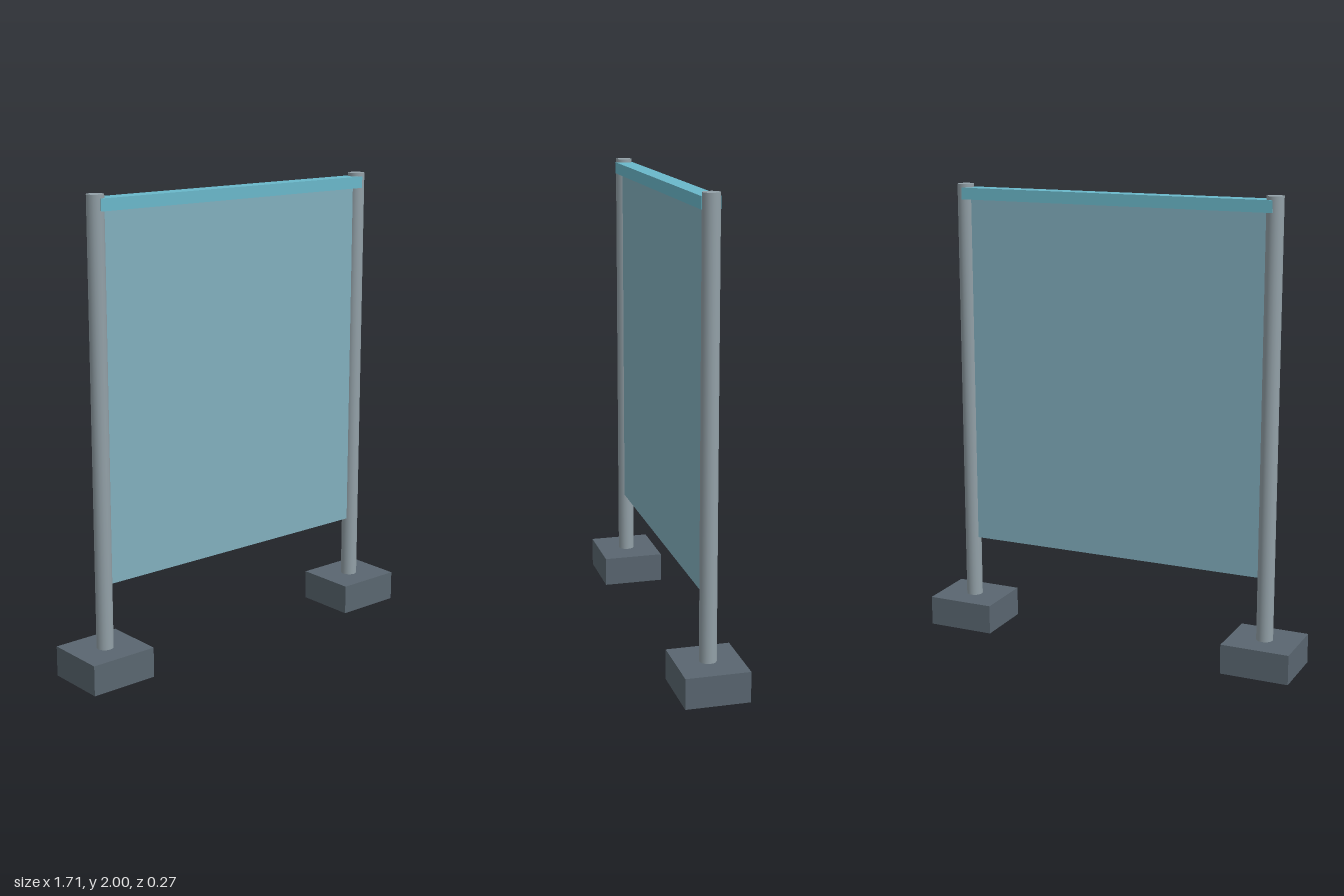
import * as THREE from 'three';

const colour = (name, hex) => {
  const m = new THREE.MeshStandardMaterial({ color: hex });
  m.name = name;
  return m;
};

export function createModel() {
  const steel = colour('steel grey', 0x93a1a8);
  const slate = colour('slate grey', 0x5a6670);
  const pane = colour('pale blue pane', 0x82afbe);
  const cyan = colour('cyan trim', 0x6ab8ca);

  const group = new THREE.Group();
  group.name = 'screenPanel';

  const add = (name, geometry, material, x, y) => {
    const mesh = new THREE.Mesh(geometry, material);
    mesh.name = name;
    mesh.position.set(x, y, 0);
    group.add(mesh);
  };

  // Footing blocks and round posts, mirrored left and right
  const baseH = 0.13, postX = 0.703, postH = 2 - baseH;
  for (const [side, s] of [['left', 1], ['right', -1]]) {
    add(side + 'Base', new THREE.BoxGeometry(0.3, baseH, 0.27), slate, s * postX, baseH / 2);
    add(side + 'Post', new THREE.CylinderGeometry(0.036, 0.036, postH, 16), steel, s * postX, baseH + postH / 2);
  }

  // Screen pane hung between the posts
  const paneBottom = 0.405, paneTop = 1.94;
  add('pane', new THREE.BoxGeometry(1.35, paneTop - paneBottom, 0.028), pane, 0, (paneTop + paneBottom) / 2);

  // Top rail joining the posts
  add('topRail', new THREE.BoxGeometry(1.406, 0.05, 0.077), cyan, 0, 1.96);

  return group;
}
